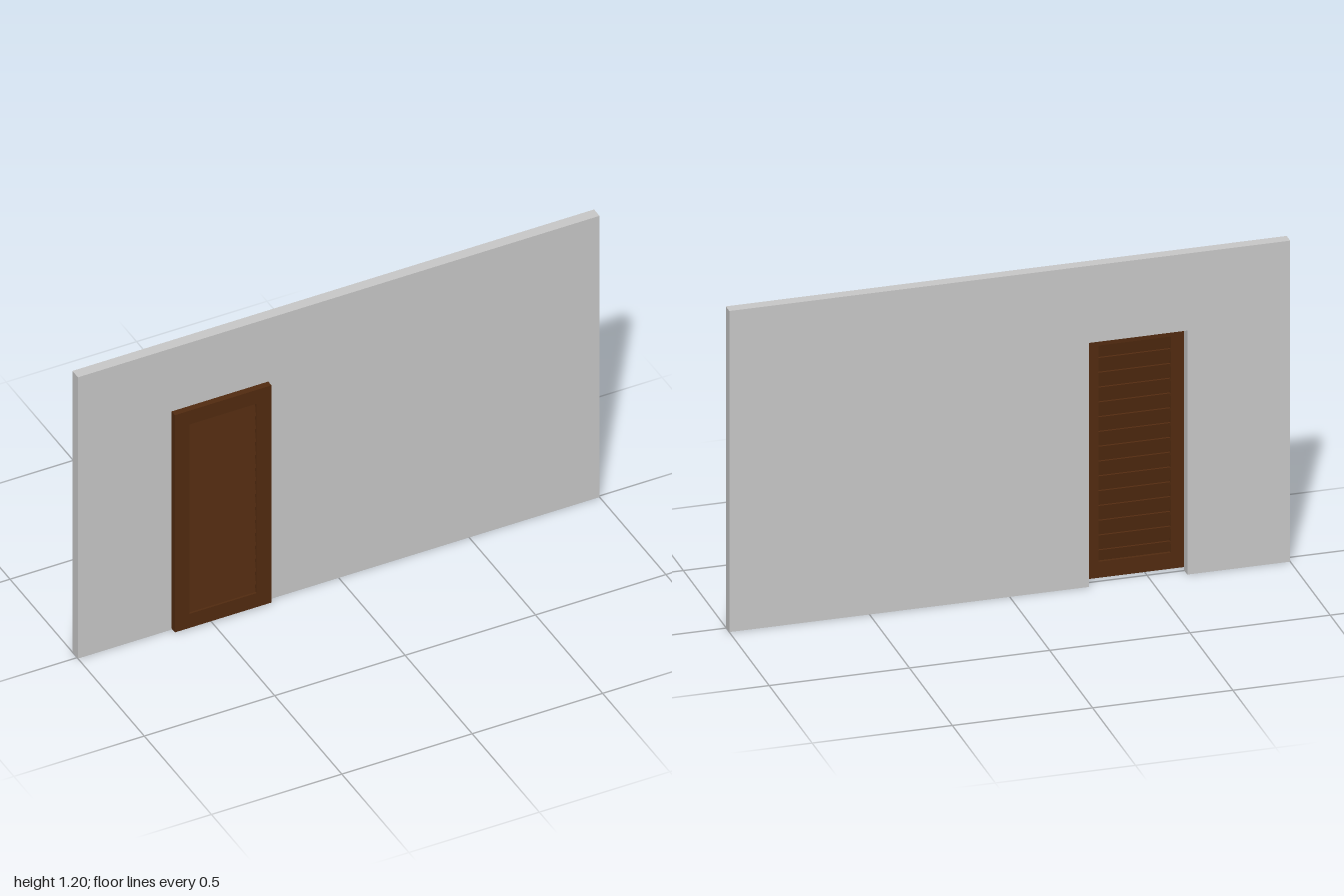
import * as THREE from 'three';

const wallGrey = new THREE.MeshStandardMaterial({ color: 0xc8c8c8 });
wallGrey.name = 'wallGrey';
const doorBrown = new THREE.MeshStandardMaterial({ color: 0x522b10 });
doorBrown.name = 'doorBrown';

// closed outline from [x, y] corners
function outline(points, Type = THREE.Shape) {
  return new Type(points.map(([x, y]) => new THREE.Vector2(x, y)));
}

// flat shape extruded from zBack to zFront
function slab(name, shape, zBack, zFront, material) {
  const geometry = new THREE.ExtrudeGeometry(shape, { depth: zFront - zBack, bevelEnabled: false });
  const mesh = new THREE.Mesh(geometry, material);
  mesh.name = name;
  mesh.position.z = zBack;
  return mesh;
}

export function createModel() {
  const model = new THREE.Group();
  model.name = 'wallWithSlidingDoor';

  // wall with a doorway open at the floor
  const wallShape = outline([
    [-1, 0], [-0.633, 0], [-0.633, 0.912], [-0.282, 0.912],
    [-0.282, 0], [1, 0], [1, 1.2], [-1, 1.2],
  ]);
  model.add(slab('wall', wallShape, -0.035, 0.006, wallGrey));

  // door hanging just in front of the wall
  const door = new THREE.Group();
  door.name = 'door';
  const frameShape = outline([[-0.643, 0.008], [-0.273, 0.008], [-0.273, 0.935], [-0.643, 0.935]]);
  frameShape.holes.push(outline(
    [[-0.588, 0.068], [-0.588, 0.876], [-0.33, 0.876], [-0.33, 0.068]], THREE.Path));
  door.add(slab('doorFrame', frameShape, 0.011, 0.035, doorBrown));

  // overlapping louvre slats, lower edges tilted forward
  const slatGeometry = new THREE.BoxGeometry(0.266, 0.064, 0.006);
  for (let i = 0; i < 15; i++) {
    const slat = new THREE.Mesh(slatGeometry, doorBrown);
    slat.name = 'louvreSlat';
    slat.position.set(-0.459, 0.852 - i * 0.0553, 0.023);
    slat.rotation.x = -0.16;
    door.add(slat);
  }
  model.add(door);
  return model;
}
